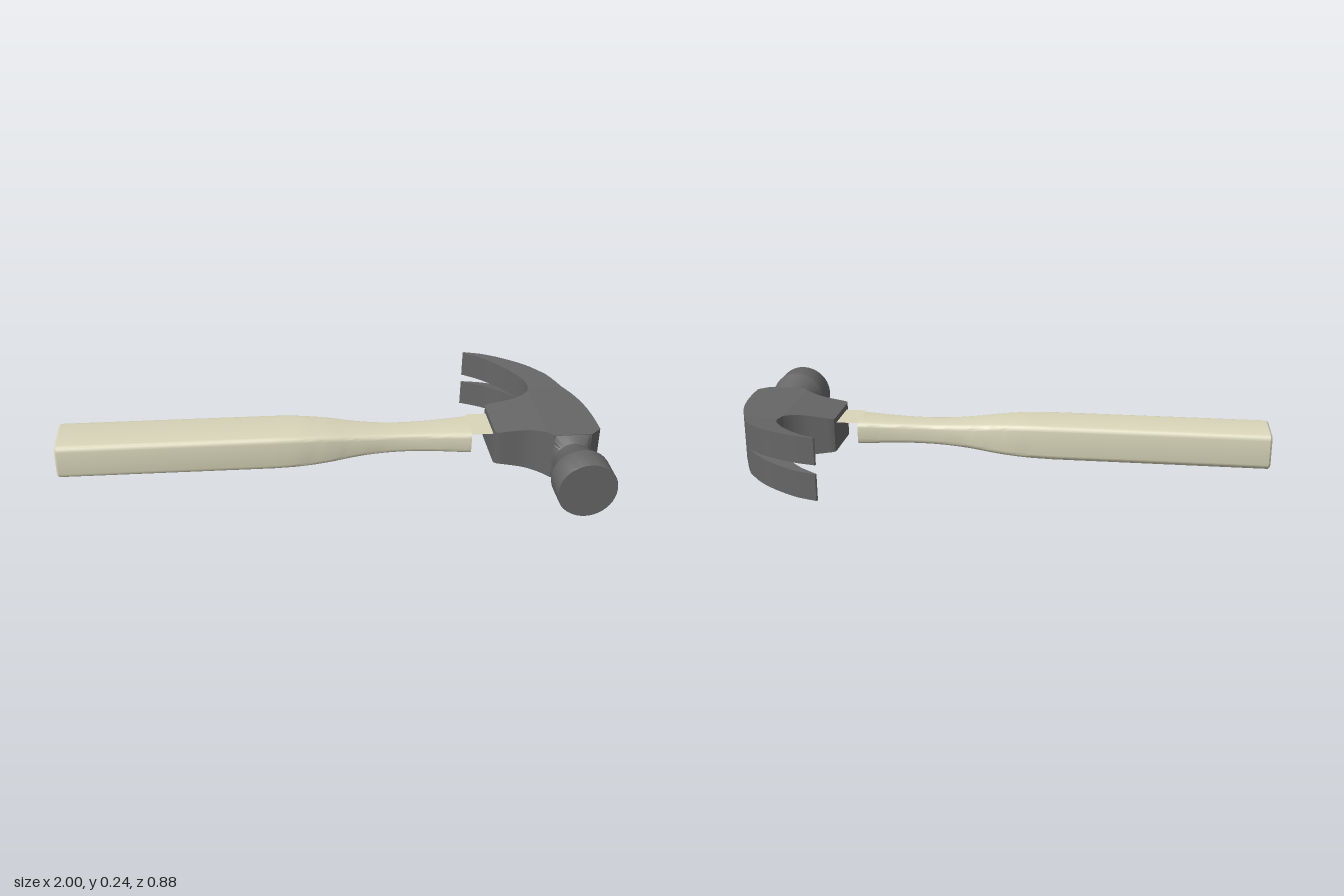
import * as THREE from 'three';
import { toCreasedNormals } from 'three/addons/utils/BufferGeometryUtils.js';

const MID = 0.122; // height of the hammer's middle plane
const wood = new THREE.MeshStandardMaterial({ color: 0xd9d6ba });
const steel = new THREE.MeshStandardMaterial({ color: 0x666666 });

function part(name, geometry, material, crease = 0.5) {
  const mesh = new THREE.Mesh(toCreasedNormals(geometry, crease), material);
  mesh.name = name;
  return mesh;
}

// Skin over equal-length closed rings of [x, y, z], capped at both ends
function loft(rings) {
  const n = rings[0].length, last = (rings.length - 1) * n, index = [];
  for (let i = 0; i < rings.length - 1; i++) {
    for (let j = 0; j < n; j++) {
      const a = i * n + j, b = i * n + (j + 1) % n;
      index.push(a, b, a + n, b, b + n, a + n);
    }
  }
  for (let j = 1; j < n - 1; j++) {
    index.push(0, j + 1, j, last, last + j, last + j + 1);
  }
  const g = new THREE.BufferGeometry();
  g.setAttribute('position', new THREE.Float32BufferAttribute(rings.flat(2), 3));
  g.setIndex(index);
  return g;
}

// Plan outline of [x, z], raised between the heights low(x, z) and high(x, z)
function slab(outline, low, high) {
  const shape = new THREE.Shape(outline.map(([x, z]) => new THREE.Vector2(x, -z)));
  const g = new THREE.ExtrudeGeometry(shape, { depth: 1, bevelEnabled: false });
  g.rotateX(-Math.PI / 2);
  const p = g.attributes.position;
  for (let i = 0; i < p.count; i++) {
    const x = p.getX(i), z = p.getZ(i);
    p.setY(i, p.getY(i) > 0.5 ? high(x, z) : low(x, z));
  }
  return g;
}

const smooth = (pts, n) =>
  new THREE.SplineCurve(pts.map(([x, y]) => new THREE.Vector2(x, y)))
    .getPoints(n).map(v => [v.x, v.y]);

// Rounded rectangle section of the handle
function handleRing(x, hy, hz) {
  const r = Math.min(0.02, hy * 0.45), ring = [];
  for (let q = 0; q < 4; q++) {
    const sy = q === 0 || q === 3 ? 1 : -1, sz = q < 2 ? 1 : -1;
    for (let k = 0; k <= 4; k++) {
      const a = (q + k / 4) * Math.PI / 2;
      ring.push([x, MID + sy * (hy - r) + r * Math.cos(a), 0.0165 + sz * (hz - r) + r * Math.sin(a)]);
    }
  }
  return ring;
}

function createHandle() {
  const group = new THREE.Group();
  group.name = 'handle';
  // x, half height, half width
  const stations = [[-0.2, 0.066, 0.097], [-0.1, 0.064, 0.093], [0, 0.058, 0.083],
    [0.1, 0.048, 0.069], [0.2, 0.041, 0.059], [0.3, 0.038, 0.057], [0.4, 0.039, 0.062],
    [0.5, 0.042, 0.072], [0.54, 0.043, 0.076]];
  const curve = new THREE.CatmullRomCurve3(stations.map(s => new THREE.Vector3(...s)));
  const rings = [handleRing(-1, 0.06, 0.091), handleRing(-0.993, 0.066, 0.097)];
  for (const v of curve.getPoints(32)) rings.push(handleRing(v.x, v.y, v.z));
  group.add(part('grip', loft(rings), wood));

  // Thin tongue bridging the handle and the head, seen from above
  const tongue = new THREE.PlaneGeometry(0.085, 0.152).rotateX(-Math.PI / 2);
  tongue.translate(0.5825, MID + 0.043, 0.0165);
  group.add(part('tongue', tongue, wood));
  return group;
}

function createHead() {
  const group = new THREE.Group();
  group.name = 'head';

  // Half thickness: thinner toward the handle, flared toward the claw tips
  const half = (x, z) => {
    if (z < -0.17) return 0.09 + 0.028 * (-0.17 - z) / 0.27;
    return z > -0.14 && x < 0.8 ? 0.065 + 0.025 * Math.max(0, x - 0.62) / 0.18 : 0.09;
  };
  const top = (x, z) => MID + half(x, z);
  const bottom = (x, z) => MID - half(x, z);

  // Eye that takes the handle
  const eye = [[0.8, -0.145], ...smooth([[0.775, -0.12], [0.74, -0.104], [0.7, -0.097], [0.635, -0.091]], 10),
    [0.622, -0.086], [0.62, -0.075], [0.62, 0.112], [0.623, 0.123], [0.635, 0.128],
    ...smooth([[0.67, 0.13], [0.73, 0.138], [0.77, 0.155], [0.8, 0.175]], 8)];
  group.add(part('eye', slab(eye, bottom, top), steel));

  // Cheek block
  const outerBody = smooth([[0.94, -0.17], [0.968, -0.1], [0.988, -0.02], [0.998, 0.07], [1, 0.165]], 12);
  const cheek = [[0.8, -0.145], [0.806, -0.17], ...outerBody, [0.96, 0.2], [0.82, 0.2], [0.8, 0.175]];
  group.add(part('cheek', slab(cheek, bottom, top), steel));

  // Claw root, up to the bottom of the slot
  const root = [[0.806, -0.17], [0.808, -0.19], [0.803, -0.215], [0.793, -0.24], [0.781, -0.26],
    [0.898, -0.26], [0.914, -0.23], [0.928, -0.2], [0.94, -0.17]];
  group.add(part('clawRoot', slab(root, bottom, top), steel));

  // Two prongs with a V slot between them
  const prong = [
    ...smooth([[0.781, -0.26], [0.753, -0.302], [0.71, -0.35], [0.66, -0.395], [0.595, -0.436]], 14),
    ...smooth([[0.6, -0.44], [0.68, -0.418], [0.77, -0.372], [0.84, -0.322], [0.898, -0.26]], 14)];
  const slot = z => 0.017 * Math.max(0, -0.26 - z) / 0.18;
  group.add(part('clawProngUpper', slab(prong, (x, z) => MID + slot(z), top), steel));
  group.add(part('clawProngLower', slab(prong, bottom, (x, z) => MID - slot(z)), steel));

  // Chamfer from the rectangular cheek to the round neck
  const cx = 0.889, N = 40, rect = [], round = [];
  for (let i = 0; i < N; i++) {
    const a = i / N * Math.PI * 2, c = Math.cos(a), s = Math.sin(a);
    const k = Math.min(0.07 / Math.max(Math.abs(c), 1e-6), 0.09 / Math.max(Math.abs(s), 1e-6));
    rect.push([cx + k * c, MID + k * s, 0.198]);
    round.push([cx + 0.065 * c, MID + 0.065 * s, 0.224]);
  }
  group.add(part('neckChamfer', loft([rect, round]), steel));

  // Round neck flaring into the striking face
  const profile = [...smooth([[0.065, 0.22], [0.073, 0.25], [0.086, 0.285], [0.1, 0.318], [0.107, 0.333]], 10),
    [0.108, 0.34], [0.108, 0.432], [0.106, 0.436], [0, 0.436]];
  const poll = new THREE.LatheGeometry(profile.map(([r, z]) => new THREE.Vector2(r, z)), N);
  poll.rotateX(Math.PI / 2).translate(cx, MID, 0);
  group.add(part('strikingPoll', poll, steel));
  return group;
}

export function createModel() {
  const model = new THREE.Group();
  model.name = 'clawHammer';
  model.add(createHandle(), createHead());
  return model;
}
